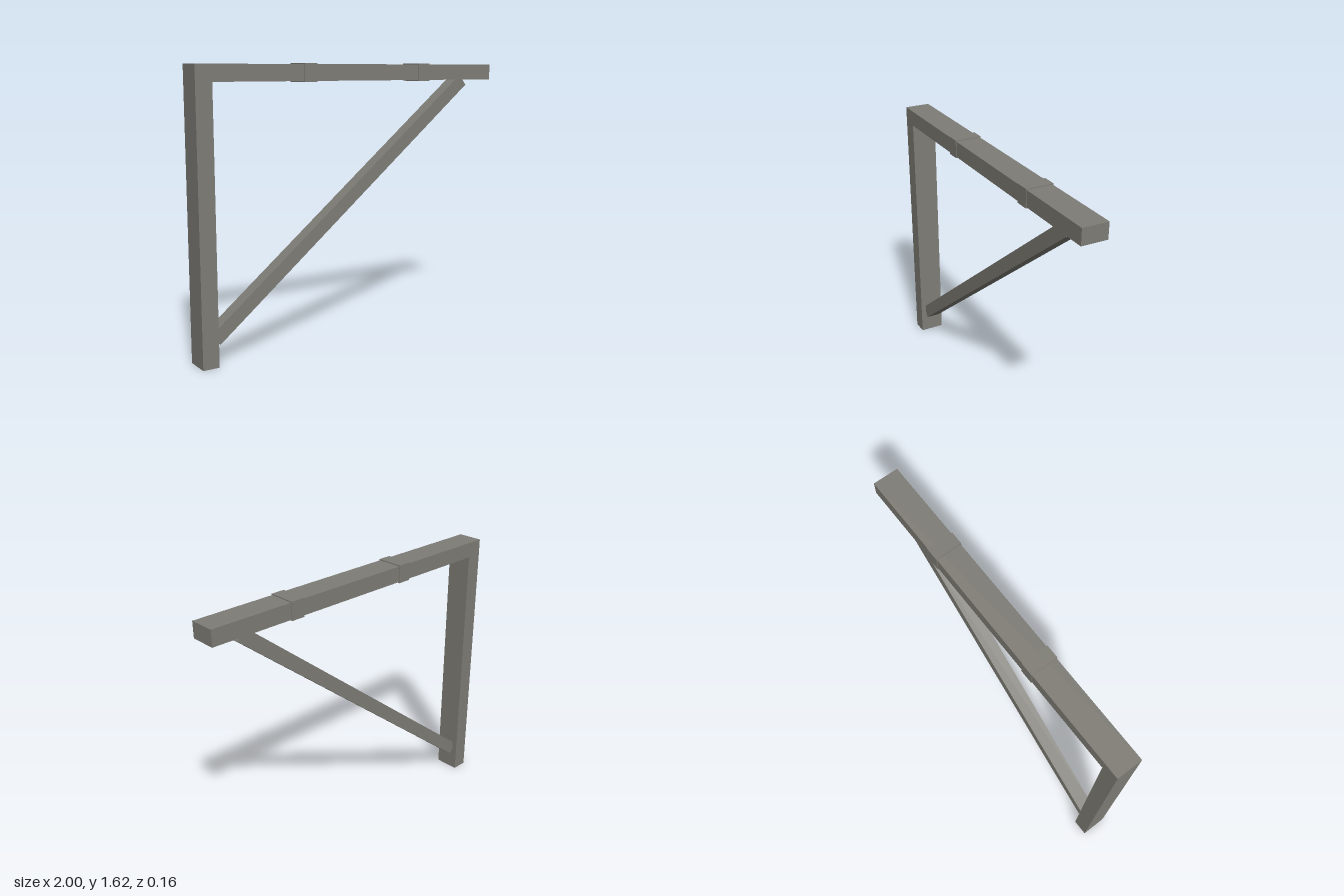
import * as THREE from 'three';

export function createModel() {
  const group = new THREE.Group();
  const wood = new THREE.MeshStandardMaterial({ color: 0x7f7d76 });
  wood.name = 'weathered grey wood';

  const addBox = (name, size, position, angle = 0) => {
    const mesh = new THREE.Mesh(new THREE.BoxGeometry(...size), wood);
    mesh.name = name;
    mesh.position.set(...position);
    mesh.rotation.z = angle;
    group.add(mesh);
    return mesh;
  };

  // Upright post and the horizontal beam resting on it
  addBox('post', [0.095, 1.52, 0.15], [-0.9525, 0.76, 0]);
  addBox('beam', [2, 0.092, 0.15], [0, 1.566, 0]);

  // Slightly raised bands wrapped around the beam
  for (const x of [-0.32, 0.47]) {
    addBox('beamBand', [0.08, 0.104, 0.158], [x, 1.566, 0]);
  }

  // Diagonal brace, its square-cut ends let into post and beam
  const low = new THREE.Vector2(-0.905, 0.145);
  const high = new THREE.Vector2(0.806, 1.518);
  const run = high.clone().sub(low);
  const mid = low.clone().add(high).multiplyScalar(0.5);
  addBox('diagonalBrace', [run.length(), 0.078, 0.085], [mid.x, mid.y, 0], run.angle());

  return group;
}
